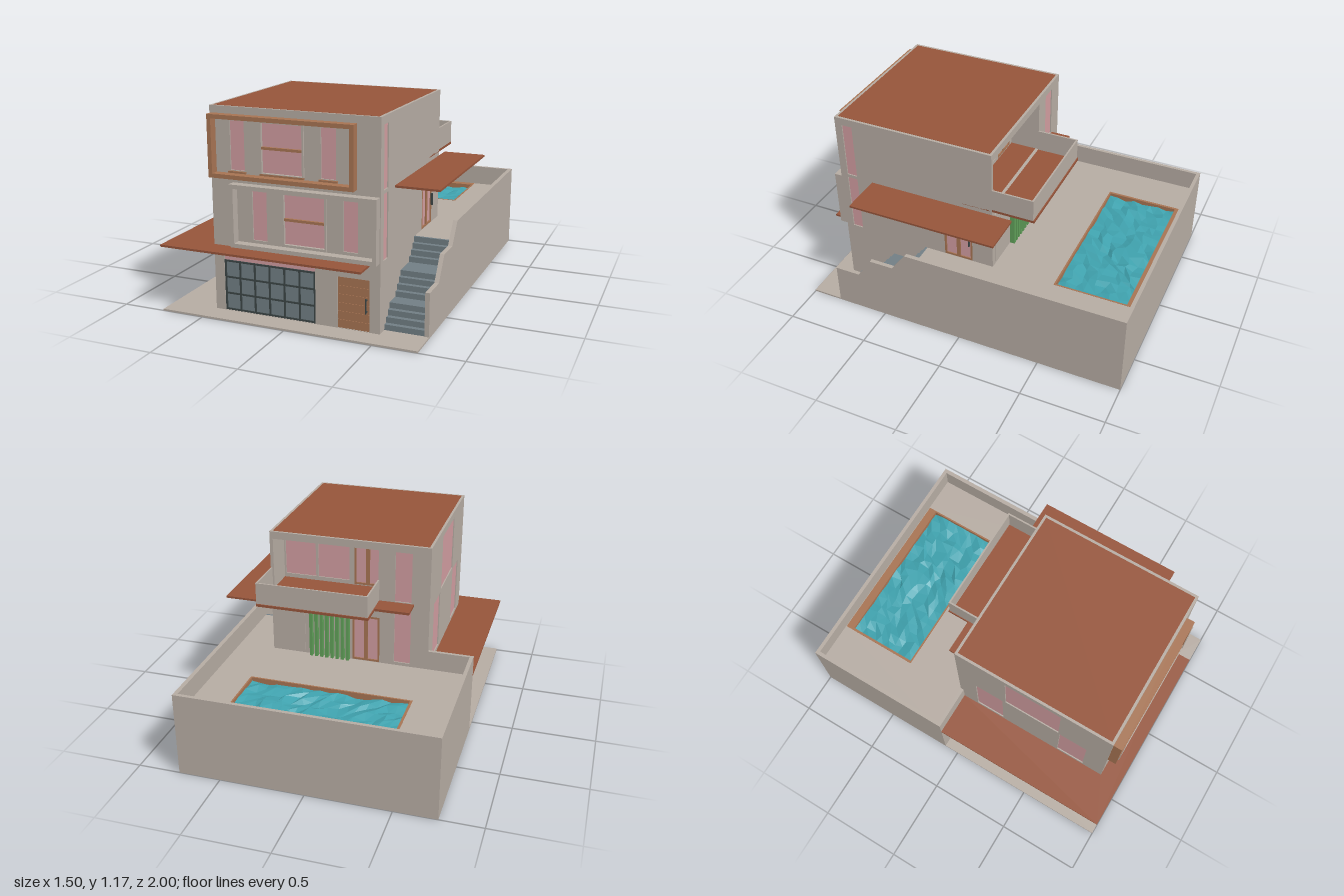
import * as THREE from 'three';

const mat = (name, color) => {
  const m = new THREE.MeshStandardMaterial({ color });
  m.name = name;
  return m;
};

export function createModel() {
  const root = new THREE.Group();
  root.name = 'house';
  const plaster = mat('plaster', 0xb5aba2), tile = mat('terracotta', 0x95543a), wood = mat('wood', 0xa67352);
  const glass = mat('pink glass', 0xd09c9f), slate = mat('slate', 0x717e84), dark = mat('dark metal', 0x3b4545);
  const green = mat('green slats', 0x5f9e58), water = mat('water', 0x3fa2ae);
  water.flatShading = true;
  water.side = THREE.DoubleSide;

  const add = (parent, name, geo, m) => {
    const mesh = new THREE.Mesh(geo, m);
    mesh.name = name;
    parent.add(mesh);
    return mesh;
  };
  // Box given by its limits on each axis
  const box = (parent, name, m, x0, x1, y0, y1, z0, z1) => {
    const mesh = add(parent, name, new THREE.BoxGeometry(x1 - x0, y1 - y0, z1 - z0), m);
    mesh.position.set((x0 + x1) / 2, (y0 + y1) / 2, (z0 + z1) / 2);
    return mesh;
  };
  const rect = ([a, b, c, d]) => [[a, c], [b, c], [b, d], [a, d]].map(p => new THREE.Vector2(...p));
  const holed = (outline, holes) => {
    const s = new THREE.Shape(outline);
    holes.forEach(h => s.holes.push(new THREE.Path(rect(h))));
    return s;
  };
  const extrude = (shape, depth) => new THREE.ExtrudeGeometry(shape, { depth, bevelEnabled: false });
  // Horizontal slab from an [x, z] outline; holes are [x0, x1, z0, z1]
  const slab = (parent, name, m, pts, y0, y1, holes = []) => {
    const shape = holed(pts.map(([x, z]) => new THREE.Vector2(x, -z)), holes.map(([a, b, c, d]) => [a, b, -d, -c]));
    const geo = extrude(shape, y1 - y0).rotateX(-Math.PI / 2);
    add(parent, name, geo, m).position.y = y0;
  };

  // Upright wall in local x-y, 0.02 thick, with window openings
  const T = 0.02;
  const wall = (name, limits, openings, pos, turned = false) => {
    const g = new THREE.Group();
    g.name = name;
    add(g, name + 'Panel', extrude(holed(rect(limits), openings), T), plaster);
    g.position.set(...pos);
    if (turned) g.rotation.y = -Math.PI / 2;
    root.add(g);
    return g;
  };
  const pane = (g, [a, b, c, d]) => box(g, 'windowGlass', glass, a, b, c, d, 0.007, 0.013);
  // Rectangular border of four bars
  const border = (g, name, m, [a, b, c, d], t, z0, z1) => {
    box(g, name, m, a, b, c, c + t, z0, z1);
    box(g, name, m, a, b, d - t, d, z0, z1);
    box(g, name, m, a, a + t, c + t, d - t, z0, z1);
    box(g, name, m, b - t, b, c + t, d - t, z0, z1);
  };

  // Ground plate, open under the house
  slab(root, 'groundPlate', plaster, [[-0.75, -0.09], [0.75, -0.09], [0.75, 1], [-0.75, 1]], 0, 0.01, [[-0.46, 0.48, -0.085, 0.855]]);

  // Raised terrace with its pool
  box(root, 'terraceBase', plaster, -0.75, 0.75, 0, 0.33, -1, -0.11);
  slab(root, 'terraceDeck', plaster, [[-0.75, -1], [0.75, -1], [0.75, -0.11], [-0.75, -0.11]], 0.33, 0.39, [[-0.48, 0.5, -0.975, -0.49]]);
  slab(root, 'poolCoping', wood, [[-0.48, -0.975], [0.5, -0.975], [0.5, -0.49], [-0.48, -0.49]], 0.33, 0.391, [[-0.465, 0.49, -0.925, -0.5]]);
  let seed = 7;
  const rand = () => (seed = (seed * 16807) % 2147483647) / 2147483647;
  const pool = new THREE.PlaneGeometry(0.955, 0.425, 18, 8).rotateX(-Math.PI / 2);
  const p = pool.attributes.position;
  for (let i = 0; i < p.count; i++) {
    const inside = Math.abs(p.getX(i)) < 0.47 && Math.abs(p.getZ(i)) < 0.21;
    const j = inside ? 0.035 : 0;
    p.setXYZ(i, p.getX(i) + (rand() - 0.5) * j, (rand() - 0.5) * 0.025, p.getZ(i) + (rand() - 0.5) * j);
  }
  pool.computeVertexNormals();
  add(root, 'poolWater', pool, water).position.set(0.0125, 0.365, -0.7125);

  // Terrace boundary walls
  box(root, 'backBoundary', plaster, -0.75, 0.75, 0.38, 0.51, -1, -0.978);
  box(root, 'leftBoundary', plaster, -0.75, -0.728, 0.38, 0.51, -0.978, -0.09);
  box(root, 'frontBoundary', plaster, -0.728, -0.48, 0, 0.51, -0.11, -0.09);
  box(root, 'frontBoundaryEnd', plaster, -0.75, -0.728, 0, 0.38, -0.11, -0.09);
  const profile = [[-0.978, 0], [0.815, 0], [0.815, 0.255], [0.66, 0.255], [0.57, 0.388], [0.42, 0.388], [0.33, 0.51], [-0.978, 0.51]];
  const sideWall = extrude(new THREE.Shape(profile.map(q => new THREE.Vector2(...q))), 0.025).rotateY(-Math.PI / 2);
  add(root, 'stairBoundary', sideWall, plaster).position.x = 0.75;

  // Side passage and three flights of steps
  box(root, 'sidePassage', plaster, 0.5, 0.725, 0, 0.39, -0.11, 0.32);
  const rise = 0.38 / 12;
  [0.81, 0.64, 0.415].forEach((start, f) => {
    for (let i = 0; i < 4; i++) {
      const y = 0.01 + rise * (f * 4 + i + 1);
      const end = i < 3 ? start - (i + 1) * 0.027 : [0.64, 0.415, 0.32][f];
      box(root, 'step', slate, 0.5, 0.725, 0, y, end, start - i * 0.027);
    }
  });

  // Front wall: two floors of windows, garage and entrance
  const upperWins = [[-0.36, -0.275, 0.82, 1.09], [-0.17, 0.065, 0.82, 1.09], [0.17, 0.255, 0.82, 1.09]];
  const midWins = [[-0.235, -0.15, 0.44, 0.715], [-0.045, 0.19, 0.44, 0.715], [0.295, 0.375, 0.44, 0.715]];
  const garage = [-0.42, 0.13, 0.012, 0.355], door = [0.26, 0.44, 0.012, 0.3];
  const front = wall('frontWall', [-0.48, 0.5, 0, 1.165], [...upperWins, ...midWins, garage, door], [0, 0, 0.855]);
  [upperWins, midWins].forEach(row => row.forEach((w, i) => {
    pane(front, w);
    if (i !== 1) return;
    const [a, b, c, d] = w, m = (c + d) / 2;
    border(front, 'windowSurround', plaster, [a - 0.01, b + 0.01, c - 0.01, d + 0.01], 0.01, T, 0.03);
    box(front, 'windowRail', wood, a, b, m - 0.007, m + 0.007, 0.006, 0.028);
  }));
  upperWins.forEach(([a, b, c, d]) => {
    box(front, 'windowSill', wood, a - 0.01, b + 0.01, c - 0.014, c - 0.004, T, 0.032);
    box(front, 'windowHead', wood, a - 0.01, b + 0.01, d + 0.004, d + 0.012, T, 0.032);
  });
  border(front, 'upperFrame', wood, [-0.47, 0.37, 0.78, 1.125], 0.023, T, 0.07);
  border(front, 'middleFrame', plaster, [-0.35, 0.495, 0.4, 0.752], 0.023, T, 0.07);

  // Garage door: grid of slate panels under a glass strip
  box(front, 'garageTransom', glass, -0.42, 0.13, 0.305, 0.355, 0.007, 0.013);
  box(front, 'garagePanel', slate, -0.42, 0.13, 0.012, 0.305, 0.006, 0.012);
  for (let i = 0; i <= 6; i++) {
    const x = -0.415 + i * 0.09;
    box(front, 'garageUpright', dark, x - 0.005, x + 0.005, 0.012, 0.305, 0.004, 0.018);
  }
  for (let i = 0; i <= 3; i++) {
    const y = 0.017 + i * 0.094;
    box(front, 'garageRail', dark, -0.42, 0.13, y - 0.005, y + 0.005, 0.004, 0.017);
  }
  // Boarded front door with a pull bar
  for (let i = 0; i < 6; i++) box(front, 'doorBoard', wood, 0.26, 0.44, 0.012 + i * 0.048, 0.058 + i * 0.048, 0.004, 0.016);
  box(front, 'doorCore', wood, 0.26, 0.44, 0.012, 0.3, 0.006, 0.013);
  box(front, 'doorHandle', dark, 0.421, 0.428, 0.115, 0.2, 0.028, 0.035);
  [0.125, 0.19].forEach(y => box(front, 'handlePost', dark, 0.421, 0.428, y - 0.004, y + 0.004, 0.014, 0.03));

  // Left wall
  const leftWins = [[0.21, 0.56, 0.78, 1.12], [0.01, 0.19, 0.41, 0.765], [0.57, 0.745, 0.41, 0.765]];
  const left = wall('leftWall', [-0.09, 0.855, 0, 1.165], leftWins, [-0.46, 0, 0], true);
  leftWins.forEach(w => pane(left, w));

  // Glazed double door, used on two walls
  const glazedDoor = (g, [a, b, c, d]) => {
    border(g, 'glazedDoorFrame', wood, [a, b, c, d], 0.012, 0, T);
    const m = (a + b) / 2;
    box(g, 'glazedDoorPost', wood, m - 0.012, m + 0.012, c, d, 0, T);
    pane(g, [a, b, c, d]);
  };
  // Right wall
  const rightWins = [[0.765, 0.83, 0.78, 1.12], [0.765, 0.83, 0.4, 0.76]], sideDoor = [0.02, 0.2, 0.392, 0.67];
  const right = wall('rightWall', [-0.09, 0.855, 0, 1.165], [...rightWins, sideDoor], [0.5, 0, 0], true);
  rightWins.forEach(w => pane(right, w));
  glazedDoor(right, sideDoor);
  border(right, 'sideDoorHandle', dark, [0.033, 0.041, 0.5, 0.57], 0.003, -0.014, 0);

  // Back wall with the recessed balcony opening
  const backWins = [[-0.37, -0.27, 0.81, 1.12], [-0.37, -0.27, 0.41, 0.765]], backDoor = [-0.18, -0.01, 0.392, 0.69];
  const recess = [-0.17, 0.48, 0.805, 1.12];
  const back = wall('backWall', [-0.48, 0.5, 0, 1.165], [...backWins, backDoor, recess], [0, 0, -0.11]);
  backWins.forEach(w => pane(back, w));
  glazedDoor(back, backDoor);
  box(back, 'backPanel', plaster, 0.29, 0.47, 0.41, 0.75, -0.005, 0);
  for (let i = 0; i < 8; i++) box(root, 'greenSlat', green, 0.005 + i * 0.033, 0.023 + i * 0.033, 0.39, 0.79, -0.14, -0.111);

  // Balcony recess
  const recessWins = [[0.06, 0.26, 0.83, 1.1], [0.275, 0.47, 0.83, 1.1], [-0.14, 0.03, 0.81, 1.08]];
  const inner = wall('recessWall', [-0.17, 0.48, 0.8, 1.14], recessWins, [0, 0, 0.07]);
  recessWins.slice(0, 2).forEach(w => pane(inner, w));
  glazedDoor(inner, recessWins[2]);
  box(root, 'recessSide', plaster, -0.19, -0.17, 0.79, 1.14, -0.09, 0.09);

  // Balcony floor and thin parapet
  box(root, 'balconyFloor', tile, -0.18, 0.5, 0.79, 0.805, -0.365, 0.075);
  box(root, 'balconyCanopy', tile, -0.385, -0.18, 0.79, 0.805, -0.23, -0.11);
  box(root, 'balconyFront', plaster, -0.175, 0.5, 0.805, 0.935, -0.358, -0.348);
  [-0.175, 0.49].forEach(x => box(root, 'balconySide', plaster, x, x + 0.01, 0.805, 0.935, -0.348, -0.11));

  // Main roof inside the low parapet
  box(root, 'roofCeiling', plaster, -0.46, 0.48, 1.12, 1.145, -0.09, 0.855);
  box(root, 'roofSurface', tile, -0.464, 0.484, 1.145, 1.153, -0.094, 0.859);
  box(root, 'roofCover', tile, -0.465, 0.484, 1.16, 1.1655, -0.095, 0.86);

  // Projecting canopies
  slab(root, 'frontCanopy', tile, [[-0.75, -0.09], [-0.48, -0.09], [-0.48, 0.875], [0.44, 0.875], [0.44, 1], [-0.75, 1]], 0.376, 0.388);
  box(root, 'sideCanopy', tile, 0.5, 0.748, 0.755, 0.767, -0.23, 0.665);

  return root;
}
